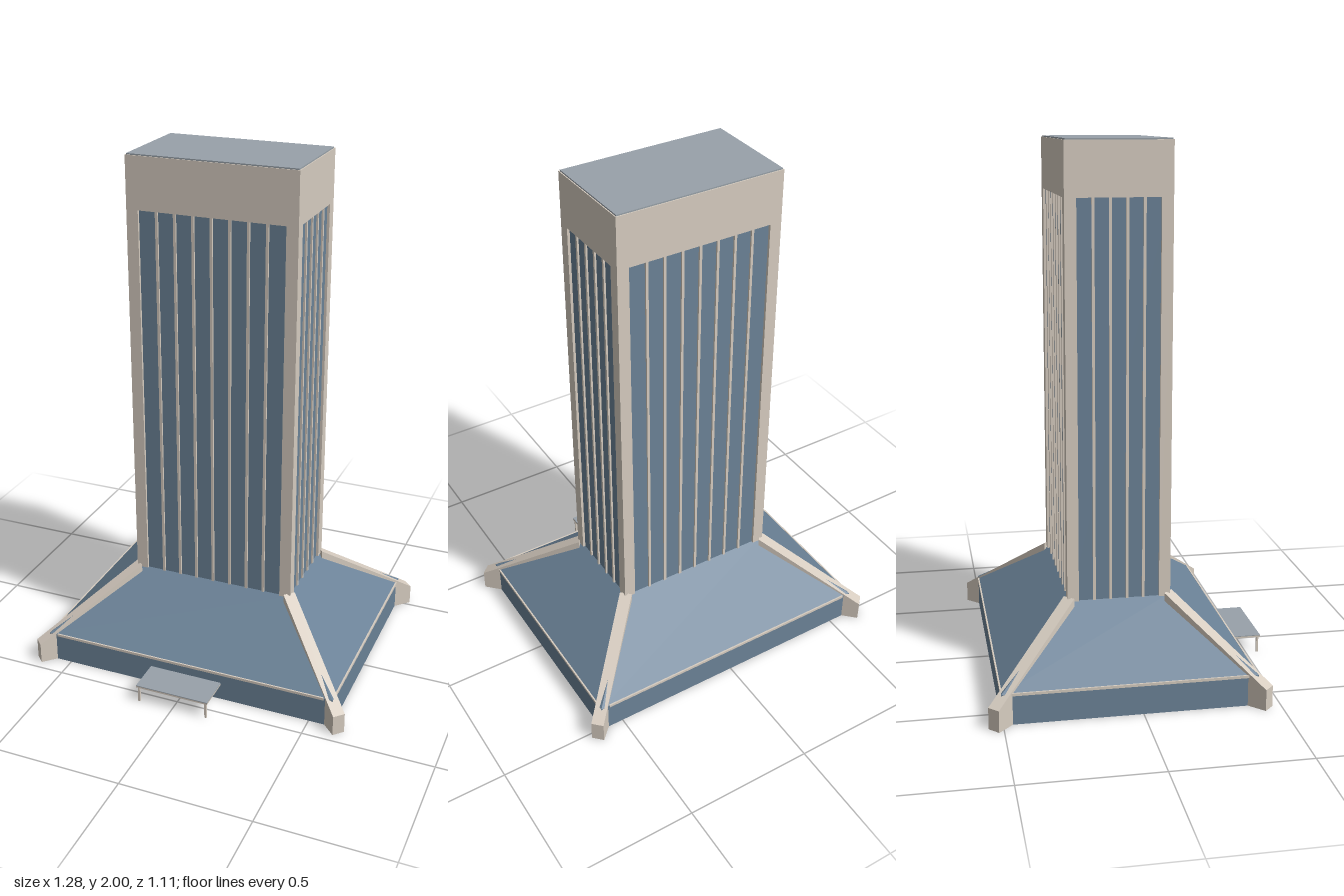
import * as THREE from 'three';

const material = (name, color, side = THREE.FrontSide) => {
  const m = new THREE.MeshStandardMaterial({ color, side });
  m.name = name;
  return m;
};

// Flat-sided rectangular shell through loops of [halfWidth, halfDepth, y]
function rectangularShell(loops) {
  const pos = [];
  const corner = ([w, d, y], k) => [[w, d], [w, -d], [-w, -d], [-w, d]][k % 4].toSpliced
    ? [[w, y, d], [w, y, -d], [-w, y, -d], [-w, y, d]][k % 4]
    : [[w, y, d], [w, y, -d], [-w, y, -d], [-w, y, d]][k % 4];
  for (let i = 0; i < loops.length - 1; i++) {
    for (let k = 0; k < 4; k++) {
      const a = corner(loops[i], k), b = corner(loops[i], k + 1);
      const c = corner(loops[i + 1], k + 1), d = corner(loops[i + 1], k);
      pos.push(...a, ...b, ...c, ...a, ...c, ...d);
    }
  }
  const g = new THREE.BufferGeometry();
  g.setAttribute('position', new THREE.Float32BufferAttribute(pos, 3));
  g.computeVertexNormals();
  return g;
}

export function createModel() {
  const stone = material('pale stone', 0xd6ccc0);
  const glass = material('blue glass', 0x6b8297, THREE.DoubleSide);
  const roofGrey = material('roof grey', 0x98a1a9);

  const model = new THREE.Group();
  model.name = 'officeTower';
  const building = new THREE.Group();
  building.name = 'building';
  building.position.z = -0.0425;
  model.add(building);

  const add = (name, geometry, mat, x = 0, y = 0, z = 0, parent = building) => {
    const mesh = new THREE.Mesh(geometry, mat);
    mesh.name = name;
    mesh.position.set(x, y, z);
    parent.add(mesh);
    return mesh;
  };
  const box = (name, mat, w, h, d, x, y, z) =>
    add(name, new THREE.BoxGeometry(w, h, d), mat, x, y, z);

  const W = 0.325, D = 0.1925;      // tower half sizes
  const BW = 0.59, BD = 0.4625;     // base half sizes
  const recess = 0.01, sill = 0.335, head = 1.8;

  // Glass shaft and flared base, both open underneath
  add('shaftGlass', rectangularShell([[W - recess, D - recess, sill], [W - recess, D - recess, head]]), glass);
  add('baseGlass', rectangularShell([[BW, BD, 0], [BW, BD, 0.115], [W - recess, D - recess, sill]]), glass);

  // Top band and roof
  box('topBand', stone, 2 * W, 0.195, 2 * D, 0, head + 0.0975, 0);
  box('roof', roofGrey, 2 * W - 0.008, 0.005, 2 * D - 0.008, 0, 1.9975, 0);

  // Mullions on the four faces
  const h = head - sill, mid = (head + sill) / 2;
  for (const s of [-1, 1]) {
    for (let i = -3; i <= 3; i++)
      box('mullion', stone, 0.01, h, 0.008, i * 0.07, mid, s * (D - 0.007));
    for (let i = -1.5; i <= 1.5; i++)
      box('sideMullion', stone, 0.008, h, 0.01, s * (W - 0.007), mid, i * 0.061);
  }

  // Thin bands where the base walls meet the sloping glass
  for (const s of [-1, 1]) {
    box('baseBand', stone, 1.11, 0.01, 0.006, 0, 0.113, s * BD);
    box('sideBaseBand', stone, 0.006, 0.01, 0.86, s * BW, 0.113, 0);
  }

  // Corner piers with diagonal buttress fins
  const finShape = new THREE.Shape([
    [-0.01, 0], [0.425, 0], [0.425, 0.08], [-0.01, 0.35],
  ].map(([x, y]) => new THREE.Vector2(x, y)));
  const finGeometry = new THREE.ExtrudeGeometry(finShape, { depth: 0.048, bevelEnabled: false });
  finGeometry.translate(0, 0, -0.024);
  for (const sx of [-1, 1]) {
    for (const sz of [-1, 1]) {
      box('cornerPier', stone, 0.045, h, 0.0425, sx * (W - 0.0225), mid, sz * (D - 0.02125));
      const fin = add('buttressFin', finGeometry, stone, sx * W, 0, sz * D);
      fin.rotation.y = Math.atan2(-sz, sx);
    }
  }

  // Entrance canopy on two slim posts
  const canopy = new THREE.Group();
  canopy.name = 'entranceCanopy';
  model.add(canopy);
  add('canopySlab', new THREE.BoxGeometry(0.292, 0.006, 0.14), stone, 0, 0.067, 0.485, canopy);
  add('canopyTop', new THREE.BoxGeometry(0.292, 0.003, 0.14), roofGrey, 0, 0.0715, 0.485, canopy);
  for (const s of [-1, 1])
    add('canopyPost', new THREE.BoxGeometry(0.008, 0.066, 0.008), stone, s * 0.137, 0.033, 0.546, canopy);

  return model;
}
